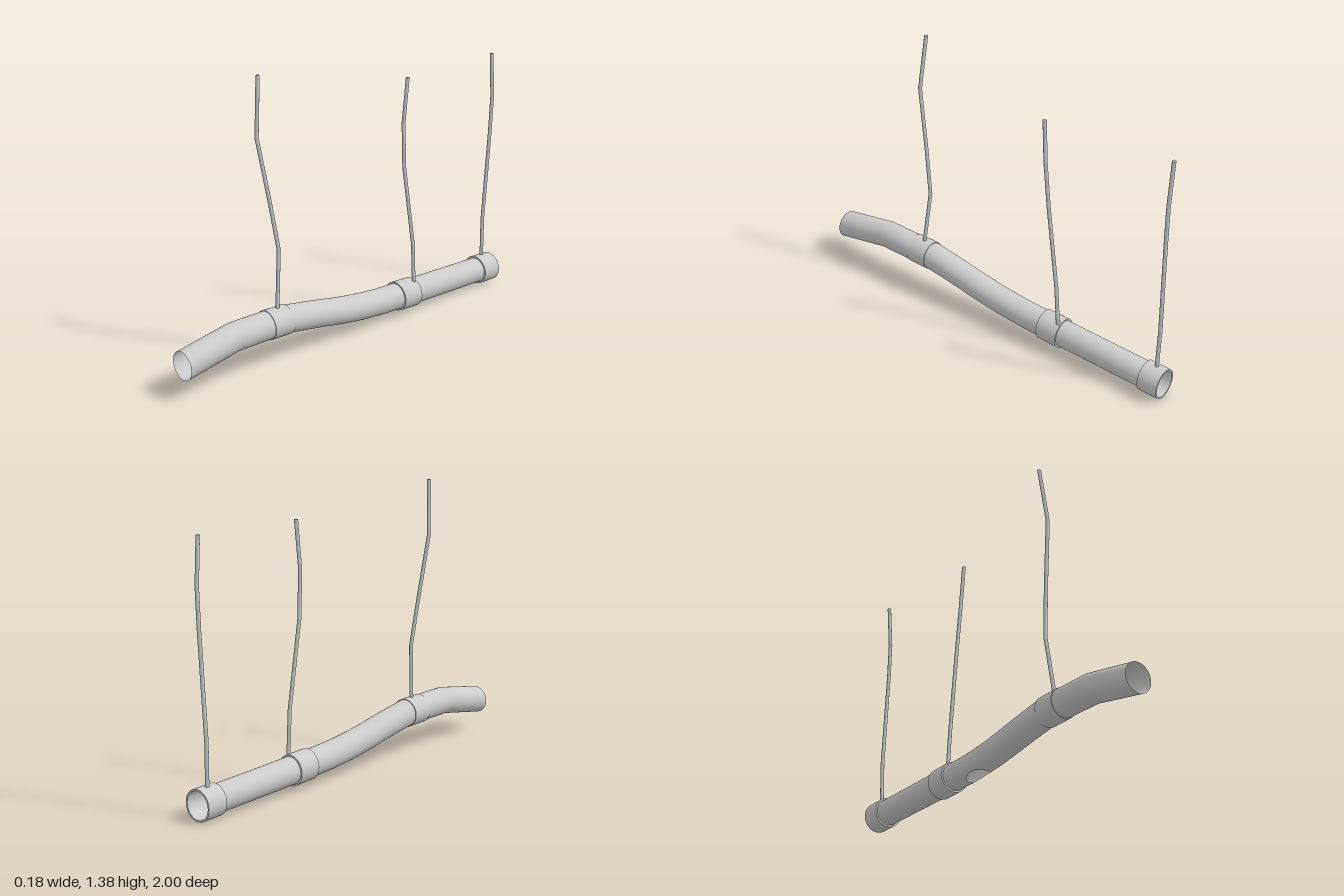
import * as THREE from 'three';

const grey = new THREE.MeshStandardMaterial({ color: 0xcccccc });
const greyOpen = new THREE.MeshStandardMaterial({ color: 0xcccccc, side: THREE.DoubleSide });

// Centre line of the pipe, front to back: [z, y]
const PATH = [
  [1, 0.165], [0.71, 0.215], [0.42, 0.21], [0.3, 0.19], [0.2, 0.172], [0.1, 0.152],
  [0, 0.135], [-0.1, 0.122], [-0.2, 0.113], [-0.4, 0.103], [-1, 0.08],
];

function centre(z) {
  let i = 0;
  while (i < PATH.length - 2 && z < PATH[i + 1][0]) i++;
  const [z0, y0] = PATH[i], [z1, y1] = PATH[i + 1];
  const y = y0 + (y1 - y0) * (z - z0) / (z1 - z0);
  return new THREE.Vector3(0.0025 - 0.0075 * z, y, z);
}

const pipeRadius = (z) => 0.0675 + 0.0025 * z;

// Thin open pipe with an oval opening in its underside
function pipeGeometry() {
  const sides = 64, hole = { z: -0.115, halfLength: 0.072, halfAngle: 0.7 };
  const zs = PATH.map((p) => p[0]).filter((z) => z > 0.01 || (z < -0.25 && z > -0.9));
  for (let k = 0; k <= 44; k++) zs.push(0.005 - k * 0.0055);
  zs.push(-0.94);
  zs.sort((a, b) => b - a);

  const positions = [], index = [], inside = [];
  zs.forEach((ringZ) => {
    for (let i = 0; i < sides; i++) {
      let z = ringZ, fromBottom = ((i - sides / 2) / sides) * Math.PI * 2;
      // points within the opening slide out to its rim
      const u = (z - hole.z) / hole.halfLength, v = fromBottom / hole.halfAngle;
      const d = Math.hypot(u, v);
      inside.push(d < 1);
      if (d < 1 && d > 0.001) {
        z = hole.z + (u / d) * hole.halfLength;
        fromBottom = (v / d) * hole.halfAngle;
      }
      const c = centre(z), r = pipeRadius(z), a = fromBottom - Math.PI / 2;
      positions.push(c.x + r * Math.cos(a), c.y + r * Math.sin(a), z);
    }
  });
  const face = (a, b, c) => {
    if (!(inside[a] && inside[b] && inside[c])) index.push(a, b, c);
  };
  for (let j = 0; j < zs.length - 1; j++) {
    for (let i = 0; i < sides; i++) {
      const n = (i + 1) % sides;
      const a = j * sides + i, b = a + sides, c = j * sides + n, d = c + sides;
      face(a, b, c);
      face(b, d, c);
    }
  }
  const g = new THREE.BufferGeometry();
  g.setAttribute('position', new THREE.Float32BufferAttribute(positions, 3));
  g.setIndex(index);
  g.computeVertexNormals();
  return g;
}

// Short sleeve around the pipe, extruded ring aligned with the centre line
function collar(name, zFront, zBack, radius, bore) {
  const ring = new THREE.Shape().absarc(0, 0, radius, 0, Math.PI * 2);
  ring.holes.push(new THREE.Path().absarc(0, 0, bore, 0, Math.PI * 2, true));
  const length = zFront - zBack;
  const g = new THREE.ExtrudeGeometry(ring, { depth: length, bevelEnabled: false, curveSegments: 48 });
  // smooth radial normals on the round walls
  const p = g.attributes.position, n = g.attributes.normal;
  for (let i = 0; i < p.count; i++) {
    if (Math.abs(n.getZ(i)) > 0.5) continue;
    const r = Math.hypot(p.getX(i), p.getY(i)), s = r > (radius + bore) / 2 ? 1 : -1;
    n.setXYZ(i, s * p.getX(i) / r, s * p.getY(i) / r, 0);
  }
  // shear along the pipe so the ends stay upright
  const back = centre(zBack), front = centre(zFront);
  for (let i = 0; i < p.count; i++) {
    const t = p.getZ(i) / length;
    const c = back.clone().lerp(front, t);
    p.setXYZ(i, p.getX(i) + c.x, p.getY(i) + c.y, c.z);
  }
  const mesh = new THREE.Mesh(g, grey);
  mesh.name = name;
  return mesh;
}

// Kinked hanging rod: each row of a cylinder moves to one point of the path
function rod(name, points) {
  const rows = points.length - 1;
  const g = new THREE.CylinderGeometry(0.0095, 0.0095, 1, 12, rows);
  const p = g.attributes.position;
  for (let i = 0; i < p.count; i++) {
    const [x, y, z] = points[Math.round((p.getY(i) + 0.5) * rows)];
    p.setXYZ(i, p.getX(i) + x, y, p.getZ(i) + z);
  }
  const mesh = new THREE.Mesh(g, grey);
  mesh.name = name;
  return mesh;
}

export function createModel() {
  const model = new THREE.Group();
  model.name = 'hangingPipe';

  const pipe = new THREE.Mesh(pipeGeometry(), greyOpen);
  pipe.name = 'pipe';
  model.add(pipe);

  model.add(
    collar('frontCollar', 0.52, 0.405, 0.0725, 0.066),
    collar('middleCollar', -0.31, -0.425, 0.075, 0.064),
    collar('endCollar', -0.895, -1, 0.075, 0.066),
  );

  model.add(
    rod('frontRod', [
      [0.002, 0.255, 0.458], [-0.02, 0.56, 0.424], [-0.038, 0.8, 0.457],
      [-0.06, 1.11, 0.506], [-0.081, 1.39, 0.475],
    ]),
    rod('middleRod', [
      [0.033, 0.15, -0.41], [0.036, 0.38, -0.395], [0.028, 0.8, -0.334],
      [0.036, 1.03, -0.317], [0.056, 1.26, -0.321],
    ]),
    rod('endRod', [
      [0.002, 0.12, -0.948], [-0.002, 0.36, -0.95], [0.022, 0.85, -0.956],
      [0.027, 1.04, -0.958], [0.012, 1.26, -0.959],
    ]),
  );
  return model;
}
